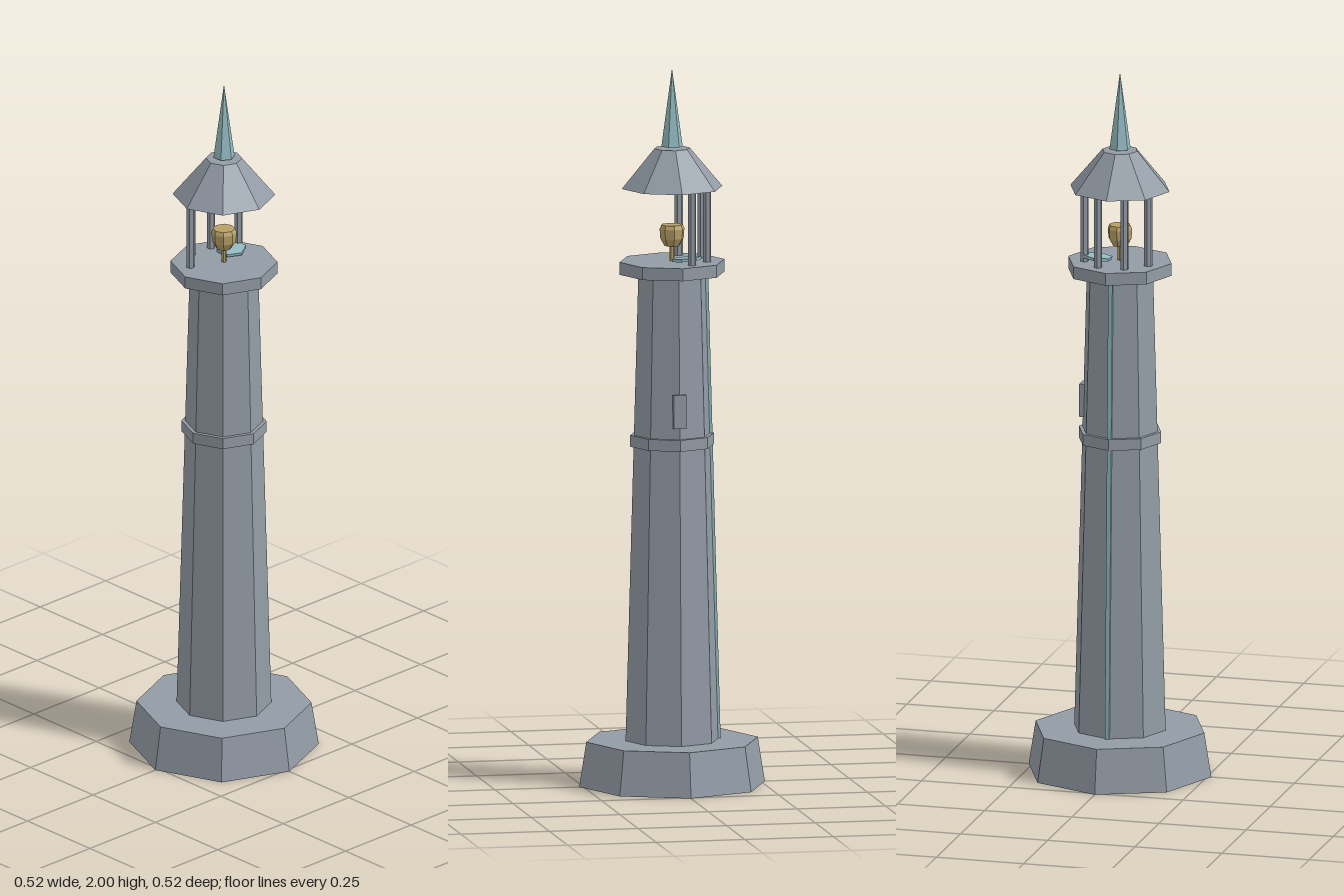
import * as THREE from 'three';

export function createModel() {
  const model = new THREE.Group();
  model.name = 'lighthouse';

  const material = (name, color) => {
    const m = new THREE.MeshStandardMaterial({ color, flatShading: true });
    m.name = name;
    return m;
  };
  const stone = material('stone', 0x929ba5);
  const verdigris = material('verdigris', 0x93bac0);
  const brass = material('brass', 0xb7a067);

  const add = (name, geometry, mat, x = 0, y = 0, z = 0) => {
    const mesh = new THREE.Mesh(geometry, mat);
    mesh.name = name;
    mesh.position.set(x, y, z);
    model.add(mesh);
    return mesh;
  };

  // Upright tapered prism between two heights
  const prism = (name, y0, y1, r0, r1, mat = stone, sides = 8) =>
    add(name, new THREE.CylinderGeometry(r1, r0, y1 - y0, sides), mat, 0, (y0 + y1) / 2, 0);

  // Masonry, from the footing to the gallery
  prism('base', 0, 0.125, 0.262, 0.242);
  prism('lowerTower', 0.125, 0.96, 0.131, 0.108);
  prism('upperTower', 0.96, 1.43, 0.108, 0.095);
  prism('stringCourse', 0.948, 0.98, 0.118, 0.118);
  prism('galleryFloor', 1.43, 1.465, 0.148, 0.148);

  // Roof and spire
  prism('roof', 1.67, 1.78, 0.142, 0.05);
  prism('spire', 1.785, 2, 0.03, 0.0005, verdigris, 6);

  // Posts around the back half of the lantern room
  for (let i = 0; i < 4; i++) {
    const a = Math.PI * (1 + (i * 2 + 1) / 8);
    add('lanternPost', new THREE.CylinderGeometry(0.0115, 0.0115, 0.21, 6), stone,
      Math.cos(a) * 0.099, 1.567, Math.sin(a) * 0.099);
  }

  // Window blocks set into the +x corner
  for (const y of [0.5, 1.058]) {
    add('window', new THREE.BoxGeometry(0.03, 0.094, 0.036), stone, 0.097, y, 0);
  }

  // Lamp bowl on its stem
  const bowl = [[0, 1.507], [0.021, 1.507], [0.033, 1.528], [0.035, 1.555], [0.03, 1.566], [0, 1.566]]
    .map(([r, y]) => new THREE.Vector2(r, y));
  add('lampBowl', new THREE.LatheGeometry(bowl, 8), brass);
  prism('lampStem', 1.465, 1.51, 0.007, 0.007, brass, 6);

  // Loose plate lying on the gallery floor
  const plate = add('fallenPlate', new THREE.CylinderGeometry(0.042, 0.042, 0.008, 6), verdigris, 0.056, 1.477, -0.03);
  plate.rotation.set(0.08, 0, 0.08);

  // Conductor strip down the rear corner
  const top = new THREE.Vector3(0, 1.43, -0.096);
  const foot = new THREE.Vector3(0, 0.125, -0.131);
  const strip = add('conductor', new THREE.BoxGeometry(0.012, top.distanceTo(foot), 0.01), verdigris);
  strip.position.lerpVectors(foot, top, 0.5);
  strip.rotation.x = Math.atan2(top.z - foot.z, top.y - foot.y);

  return model;
}
